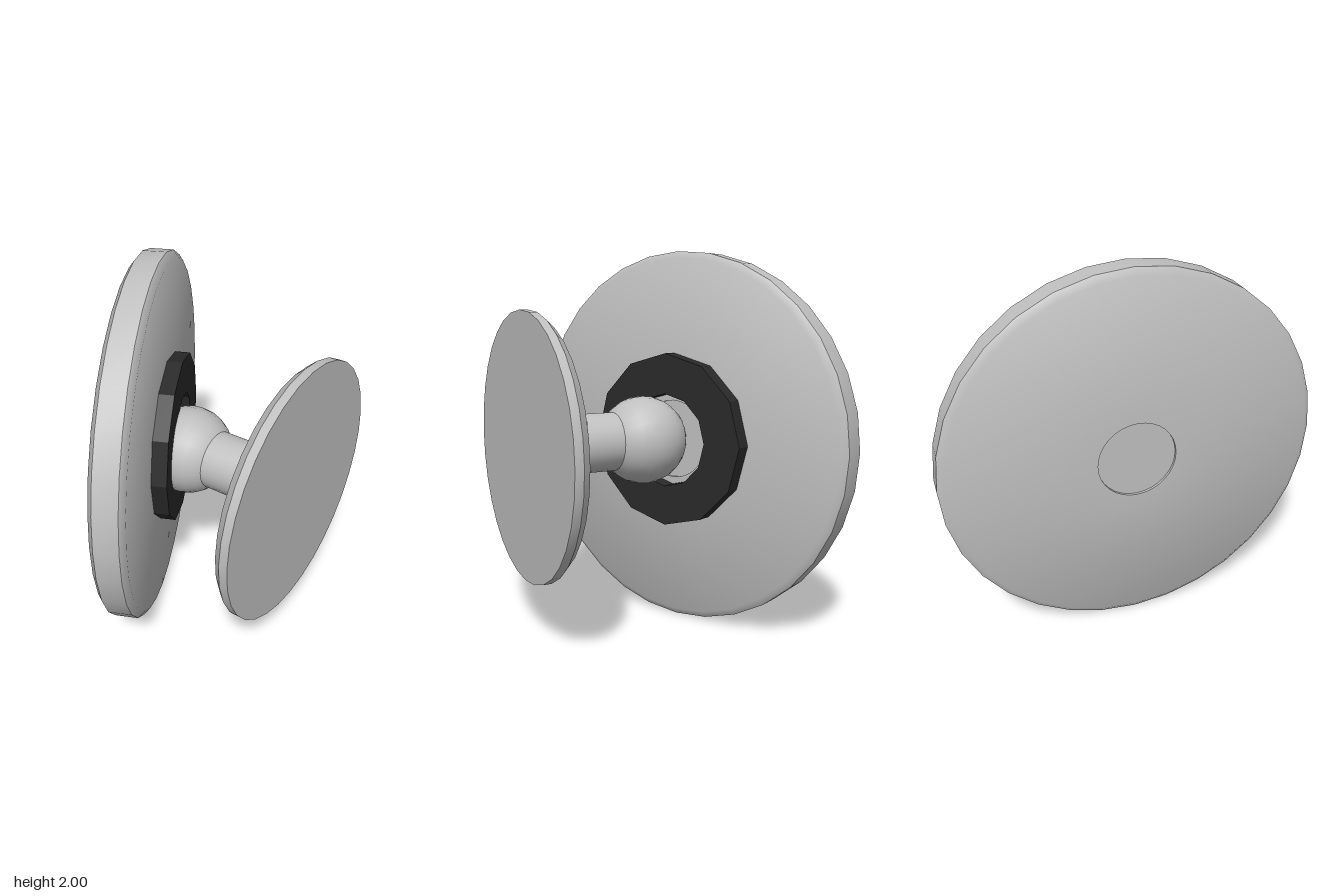
import * as THREE from 'three';
import { toCreasedNormals } from 'three/addons/utils/BufferGeometryUtils.js';

const metal = new THREE.MeshStandardMaterial({ color: 0xc0c0c0 });
metal.name = 'grey metal';
const rubber = new THREE.MeshStandardMaterial({ color: 0x2a2a2a });
rubber.name = 'black rubber';

// Turned part along +x from [radius, x] points
function turned(name, points, sides, crease, material) {
  const lathe = new THREE.LatheGeometry(points.map(([r, x]) => new THREE.Vector2(r, x)), sides);
  lathe.rotateZ(-Math.PI / 2);
  const mesh = new THREE.Mesh(toCreasedNormals(lathe, crease), material);
  mesh.name = name;
  return mesh;
}

// Slotted dome screw facing -x: two half domes with a gap between them
function makeScrew(name, y) {
  const screw = new THREE.Group();
  screw.name = name;
  const r = 0.077, h = 0.032, gap = 0.008;
  const profile = [];
  for (let i = 0; i <= 5; i++) {
    const a = (i / 5) * Math.PI / 2;
    profile.push(new THREE.Vector2(r * Math.cos(a), h * Math.sin(a)));
  }
  const outline = new THREE.Shape();
  outline.absellipse(0, 0, r, h, 0, Math.PI, false);
  for (const turn of [0, Math.PI]) {
    const half = new THREE.Group();
    const dome = new THREE.Mesh(
      new THREE.LatheGeometry(profile, 10, -Math.PI / 2, Math.PI), metal);
    dome.name = 'screwDome';
    const wall = new THREE.Mesh(new THREE.ShapeGeometry(outline, 10), metal);
    wall.name = 'slotWall';
    wall.rotation.y = Math.PI;
    dome.position.z = wall.position.z = gap;
    half.add(dome, wall);
    half.rotation.y = turn;
    screw.add(half);
  }
  screw.rotation.set(0.15, 0, Math.PI / 2);
  screw.position.set(0.628, y, 0);
  return screw;
}

export function createModel() {
  const model = new THREE.Group();
  model.name = 'swivelMount';

  // Tilted head: bevelled disc with shallow centre recesses, and a pad ring
  const head = new THREE.Group();
  head.name = 'tiltedHead';
  head.position.set(-0.216, 1, 0);
  head.rotation.y = THREE.MathUtils.degToRad(25);
  head.add(turned('disc', [
    [0, -0.088], [0.21, -0.088], [0.21, -0.102], [0.965, -0.088], [1, -0.062],
    [1, 0.062], [0.965, 0.088], [0.21, 0.1], [0.21, 0.088], [0, 0.088],
  ], 32, 0.8, metal));
  const ring = turned('padRing', [
    [0.25, 0.085], [0.465, 0.085], [0.465, 0.178], [0.25, 0.178], [0.25, 0.085],
  ], 12, 0.4, rubber);
  head.add(ring);
  model.add(head);

  // Ball joint and stem
  const ball = new THREE.Mesh(new THREE.SphereGeometry(0.236, 24, 14).rotateZ(-Math.PI / 2), metal);
  ball.name = 'ballJoint';
  ball.position.set(0.04, 1, 0);
  model.add(ball);
  const stem = turned('stem', [[0, 0.1], [0.155, 0.1], [0.155, 0.5], [0, 0.5]], 24, 0.6, metal);
  stem.position.y = 1.003;
  model.add(stem);

  // Hexagonal nut with a small chamfer, points up and down
  const nut = turned('hexNut', [
    [0, 0.47], [0.292, 0.47], [0.305, 0.484], [0.305, 0.64], [0, 0.64],
  ], 6, 0.3, metal);
  nut.rotation.x = Math.PI / 2;
  nut.position.y = 1.003;
  model.add(nut);

  // Wall plate with a chamfered front edge
  const plate = turned('wallPlate', [
    [0, 0.627], [0.645, 0.627], [0.686, 0.672], [0.686, 0.716], [0, 0.716],
  ], 32, 0.5, metal);
  plate.position.y = 1.003;
  model.add(plate);

  // Fixing screws
  model.add(makeScrew('upperScrew', 1.457), makeScrew('lowerScrew', 0.55));

  return model;
}
